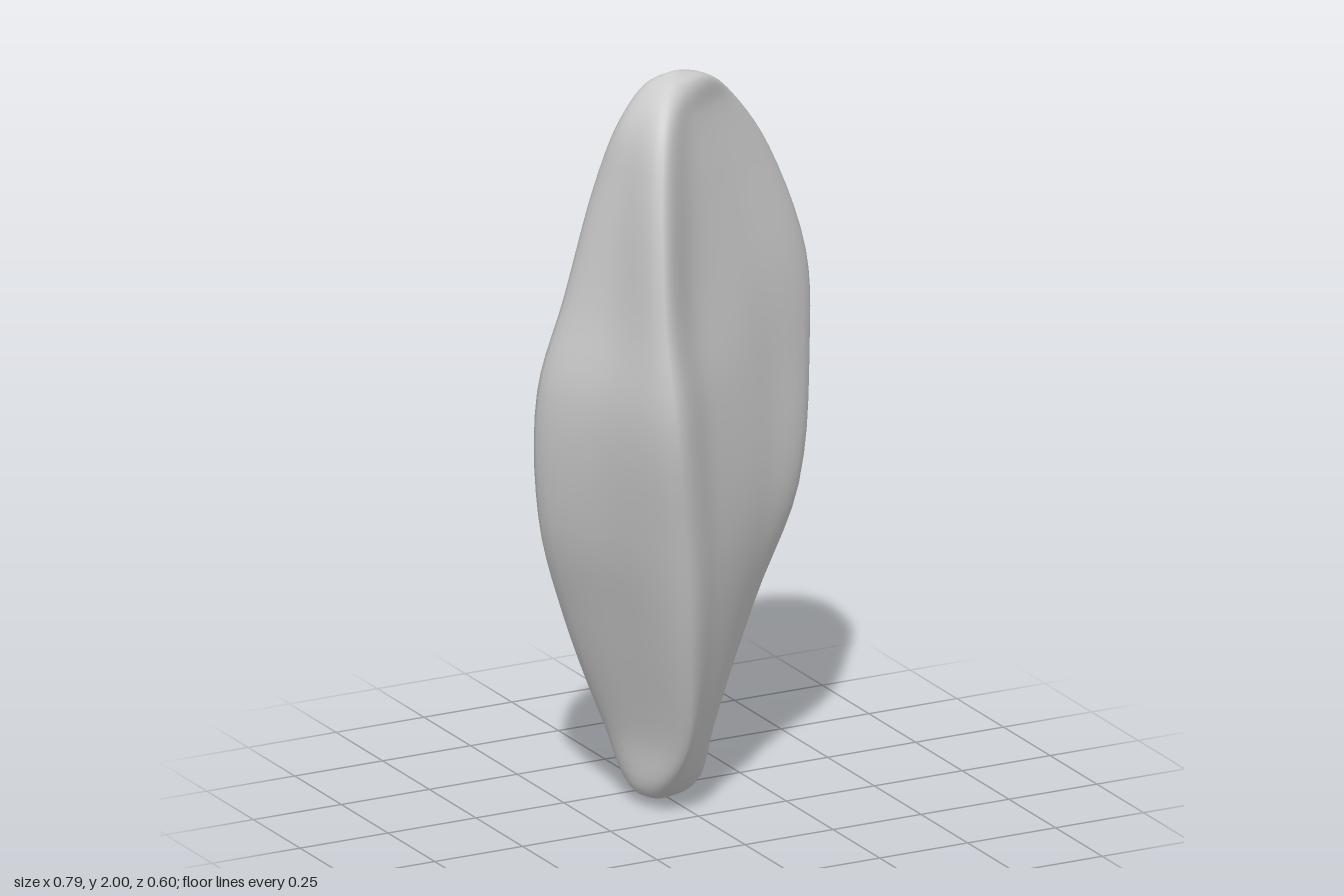
import * as THREE from 'three';
import { mergeVertices } from 'three/addons/utils/BufferGeometryUtils.js';

// Heights shared by all guide lines; each guide lists x, z at those heights.
const HEIGHTS = [0.04, 0.2, 0.5, 0.8, 1.15, 1.4, 1.7, 1.88, 1.97];
const BOTTOM = new THREE.Vector3(-0.02, 0, -0.18);
const TOP = new THREE.Vector3(-0.08, 2, 0.02);

function guide(...xz) {
  const points = HEIGHTS.map((y, i) => new THREE.Vector3(xz[2 * i], y, xz[2 * i + 1]));
  return new THREE.CatmullRomCurve3([BOTTOM, ...points, TOP]);
}

// Lofts a closed skin through guide lines, listed counterclockwise seen from above.
function loftGuides(guides, rows, columns) {
  const positions = [], indices = [];
  for (let r = 0; r <= rows; r++) {
    const section = new THREE.CatmullRomCurve3(guides.map(g => g.getPoint(r / rows)), true);
    for (let c = 0; c < columns; c++) positions.push(...section.getPoint(c / columns).toArray());
  }
  for (let r = 0; r < rows; r++) {
    for (let c = 0; c < columns; c++) {
      const a = r * columns + c, b = r * columns + (c + 1) % columns;
      if (r > 0) indices.push(a, b, b + columns);
      if (r < rows - 1 || r === 0) indices.push(a, b + columns, a + columns);
      else indices.push(a, b, a + columns);
    }
  }
  let geometry = new THREE.BufferGeometry();
  geometry.setAttribute('position', new THREE.Float32BufferAttribute(positions, 3));
  geometry.setIndex(indices);
  geometry = mergeVertices(geometry, 1e-5);
  geometry.computeVertexNormals();
  return geometry;
}

export function createModel() {
  // Front ridge
  const ridge = guide(-0.07, -0.08, -0.06, 0.05, -0.11, 0.165, -0.16, 0.24, -0.22, 0.3,
    -0.235, 0.27, -0.22, 0.22, -0.18, 0.155, -0.12, 0.07);
  // Broad front face
  const frontInner = guide(0, -0.09, 0, 0, 0, 0.09, -0.02, 0.15, -0.05, 0.16,
    -0.07, 0.13, -0.07, 0.1, -0.06, 0.07, -0.06, 0.06);
  const frontOuter = guide(0.05, -0.12, 0.07, -0.06, 0.13, -0.02, 0.19, 0, 0.2, -0.01,
    0.16, 0, 0.09, 0, 0.03, 0.01, -0.02, 0.04);
  // Rounded left edge
  const leftEdgeFront = guide(0.08, -0.17, 0.13, -0.18, 0.24, -0.16, 0.35, -0.12, 0.385, -0.13,
    0.38, -0.14, 0.265, -0.12, 0.13, -0.06, 0.02, 0.01);
  const leftEdgeBack = guide(0.05, -0.23, 0.08, -0.28, 0.18, -0.27, 0.3, -0.26, 0.35, -0.24,
    0.34, -0.23, 0.24, -0.17, 0.1, -0.1, 0, -0.03);
  // Slightly hollow back
  const back = guide(-0.02, -0.24, -0.04, -0.3, -0.03, -0.25, -0.02, -0.2, -0.02, -0.17,
    -0.02, -0.15, -0.02, -0.12, -0.05, -0.075, -0.07, -0.03);
  // Right edge and the narrow right face
  const rightEdge = guide(-0.08, -0.22, -0.14, -0.25, -0.265, -0.22, -0.365, -0.17, -0.39, -0.13,
    -0.33, -0.1, -0.265, -0.06, -0.22, -0.01, -0.15, 0);
  const rightFace = guide(-0.1, -0.15, -0.12, -0.1, -0.2, -0.03, -0.28, 0.04, -0.325, 0.09,
    -0.29, 0.09, -0.255, 0.08, -0.215, 0.07, -0.15, 0.03);

  const guides = [ridge, frontInner, frontOuter, leftEdgeFront, leftEdgeBack, back, rightEdge, rightFace];
  const stone = new THREE.Mesh(loftGuides(guides, 50, 48), new THREE.MeshStandardMaterial({ color: 0xcccccc }));
  stone.name = 'stone';

  const model = new THREE.Group();
  model.name = 'standingStone';
  model.add(stone);
  return model;
}
